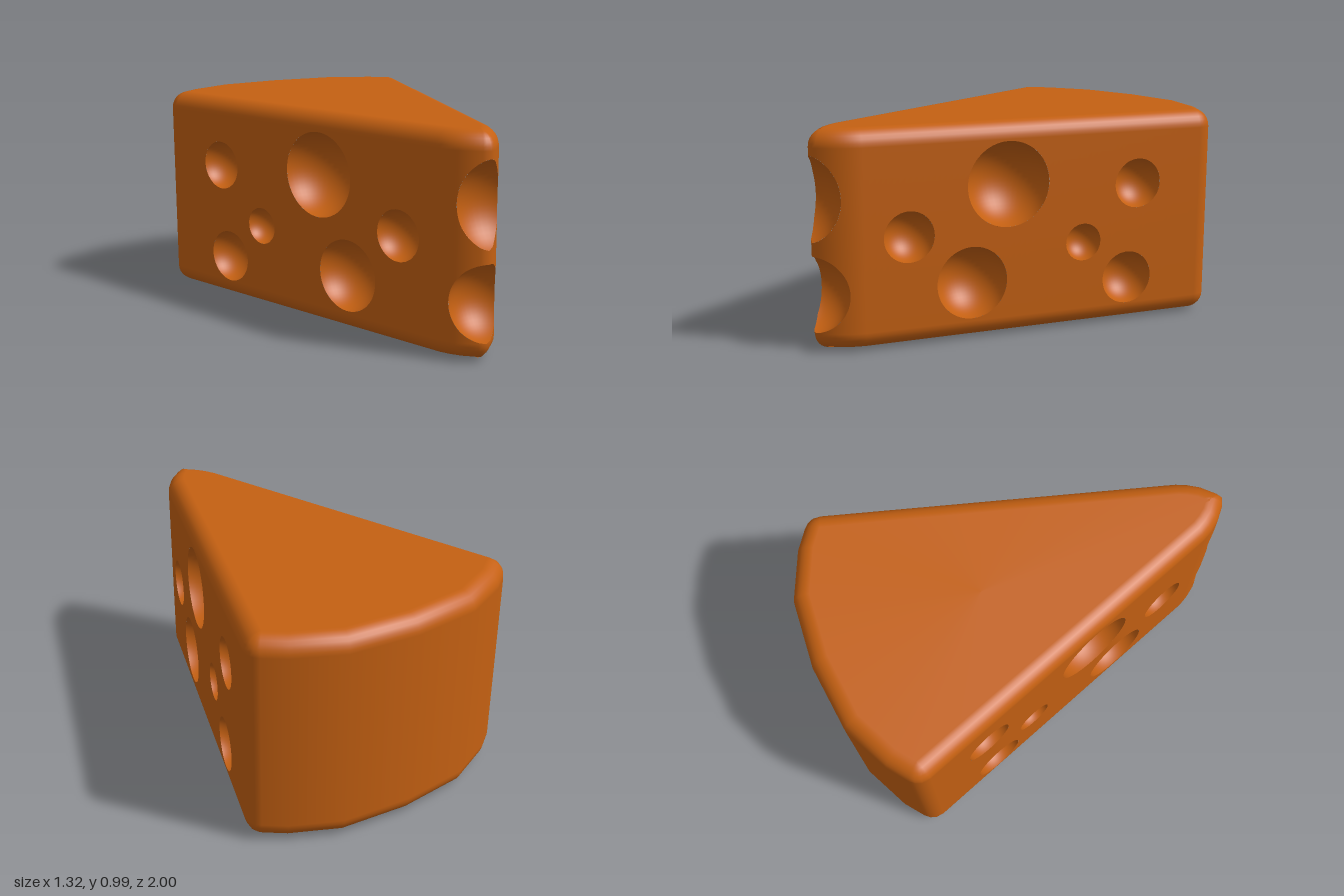
import * as THREE from 'three';

const RIM = 0.08, LOW = 0.008, HIGH = 0.982;
const material = new THREE.MeshStandardMaterial({ color: 0xc46012, roughness: 0.8 });

// Half of the plan outline from nose to back: x, z, direction of the normal in degrees
const half = [
  [0, 1, 0], [0.03, 0.985, 30], [0.09, 0.93, 47], [0.125, 0.88, 60], [0.15, 0.83, 72],
  [0.658, -0.715, 72], [0.661, -0.754, 100], [0.65, -0.782, 122], [0.63, -0.804, 143],
  [0.54, -0.87, 150], [0.32, -0.97, 165], [0, -1, 180],
];
const corners = [...half, ...half.slice(1, -1).reverse().map(([x, z, a]) => [-x, z, 360 - a])];

// Side holes (z, y, radius), repeated on both walls
const sideHoles = [
  [0.2, 0.7, 0.194], [0.64, 0.5, 0.115], [0.365, 0.265, 0.165],
  [-0.15, 0.403, 0.087], [-0.365, 0.213, 0.124], [-0.41, 0.66, 0.115],
];
const wallX = (z) => 0.15 + (0.83 - z) * (0.508 / 1.545);
const holes = [
  { name: 'upperNoseHole', c: new THREE.Vector3(0, 0.68, 1.1), r: 0.215 },
  { name: 'lowerNoseHole', c: new THREE.Vector3(0, 0.26, 1.01), r: 0.171 },
];
for (const s of [1, -1]) {
  sideHoles.forEach(([z, y, r], i) => holes.push({
    name: (s > 0 ? 'left' : 'right') + 'SideHole' + (i + 1),
    c: new THREE.Vector3(s * wallX(z), y, z), r,
  }));
}

const vert = (p, n) => ({ p, n });
const mix = (a, b, t) => vert(a.p.clone().lerp(b.p, t), a.n.clone().lerp(b.n, t).normalize());

// Keep the part of every triangle where f(point) > 0
function clip(tris, f) {
  const out = [];
  for (const tri of tris) {
    const d = tri.map((v) => f(v.p));
    if (d.every((x) => x >= 0)) { out.push(tri); continue; }
    if (d.every((x) => x <= 0)) continue;
    const poly = [];
    for (let i = 0; i < 3; i++) {
      const j = (i + 1) % 3, a = tri[i], b = tri[j];
      if (d[i] >= 0) poly.push(a);
      if ((d[i] >= 0) !== (d[j] >= 0)) {
        let lo = 0, hi = 1;
        for (let k = 0; k < 24; k++) {
          const m = (lo + hi) / 2;
          if ((f(a.p.clone().lerp(b.p, m)) >= 0) === (d[i] >= 0)) lo = m; else hi = m;
        }
        poly.push(mix(a, b, lo));
      }
    }
    for (let i = 2; i < poly.length; i++) out.push([poly[0], poly[i - 1], poly[i]]);
  }
  return out;
}

function toMesh(tris, name) {
  const pos = [], nor = [];
  for (const v of tris.flat()) {
    pos.push(v.p.x, v.p.y, v.p.z);
    nor.push(v.n.x, v.n.y, v.n.z);
  }
  const geo = new THREE.BufferGeometry();
  geo.setAttribute('position', new THREE.Float32BufferAttribute(pos, 3));
  geo.setAttribute('normal', new THREE.Float32BufferAttribute(nor, 3));
  const mesh = new THREE.Mesh(geo, material);
  mesh.name = name;
  return mesh;
}

// Rounded wedge as stacked outline rings, closed by slightly domed caps
function wedgeTriangles() {
  const outline = [];
  corners.forEach(([x, z, a], i) => {
    let [x2, z2, a2] = corners[(i + 1) % corners.length];
    if (a2 < a) a2 += 360;
    const steps = Math.ceil(Math.hypot(x2 - x, z2 - z) / 0.027);
    for (let k = 0; k < steps; k++) {
      const t = k / steps, ang = THREE.MathUtils.degToRad(a + (a2 - a) * t);
      outline.push({ x: x + (x2 - x) * t, z: z + (z2 - z) * t, nx: Math.sin(ang), nz: Math.cos(ang) });
    }
  });

  const levels = [], ARC = 7, WALL = 30;
  for (let k = 0; k <= ARC; k++) levels.push([LOW + RIM, (k / ARC - 1) * Math.PI / 2]);
  for (let k = 1; k < WALL; k++) levels.push([LOW + RIM + (HIGH - LOW - 2 * RIM) * k / WALL, 0]);
  for (let k = 0; k <= ARC; k++) levels.push([HIGH - RIM, (k / ARC) * Math.PI / 2]);

  const rings = levels.map(([y, a]) => outline.map((o) => {
    const c = Math.cos(a), s = Math.sin(a), inset = RIM * (1 - c);
    return vert(new THREE.Vector3(o.x - o.nx * inset, y + RIM * s, o.z - o.nz * inset),
      new THREE.Vector3(o.nx * c, s, o.nz * c));
  }));

  const tris = [], n = outline.length, last = rings[rings.length - 1];
  const top = vert(new THREE.Vector3(0, 0.99, -0.2), new THREE.Vector3(0, 1, 0));
  const bottom = vert(new THREE.Vector3(0, 0, -0.2), new THREE.Vector3(0, -1, 0));
  for (let i = 0; i < n; i++) {
    const j = (i + 1) % n;
    for (let k = 0; k + 1 < rings.length; k++) {
      const a = rings[k], b = rings[k + 1];
      tris.push([a[i], a[j], b[j]], [a[i], b[j], b[i]]);
    }
    tris.push([last[i], last[j], top], [rings[0][j], rings[0][i], bottom]);
  }
  return tris;
}

// Inward-facing sphere, trimmed to the inside of the wedge outline
function bowlTriangles({ c, r }) {
  const geo = new THREE.SphereGeometry(r, 48, 28).toNonIndexed();
  const pos = geo.attributes.position;
  let tris = [];
  for (let i = 0; i < pos.count; i += 3) {
    const v = [0, 2, 1].map((k) => {
      const p = new THREE.Vector3().fromBufferAttribute(pos, i + k);
      return vert(p.clone().add(c), p.clone().normalize().negate());
    });
    tris.push(v);
  }
  corners.forEach(([x, z], i) => {
    const [x2, z2] = corners[(i + 1) % corners.length];
    const nx = z - z2, nz = x2 - x;
    tris = clip(tris, (p) => (x - p.x) * nx + (z - p.z) * nz);
  });
  return tris;
}

export function createModel() {
  const model = new THREE.Group();
  model.name = 'cheeseWedge';

  // Wedge with the hole openings cut out
  let body = wedgeTriangles();
  for (const h of holes) body = clip(body, (p) => p.distanceTo(h.c) - h.r);
  model.add(toMesh(body, 'wedgeBody'));

  // Hollow bowls behind the openings
  const bowls = new THREE.Group();
  bowls.name = 'holes';
  for (const h of holes) bowls.add(toMesh(bowlTriangles(h), h.name));
  model.add(bowls);
  return model;
}
